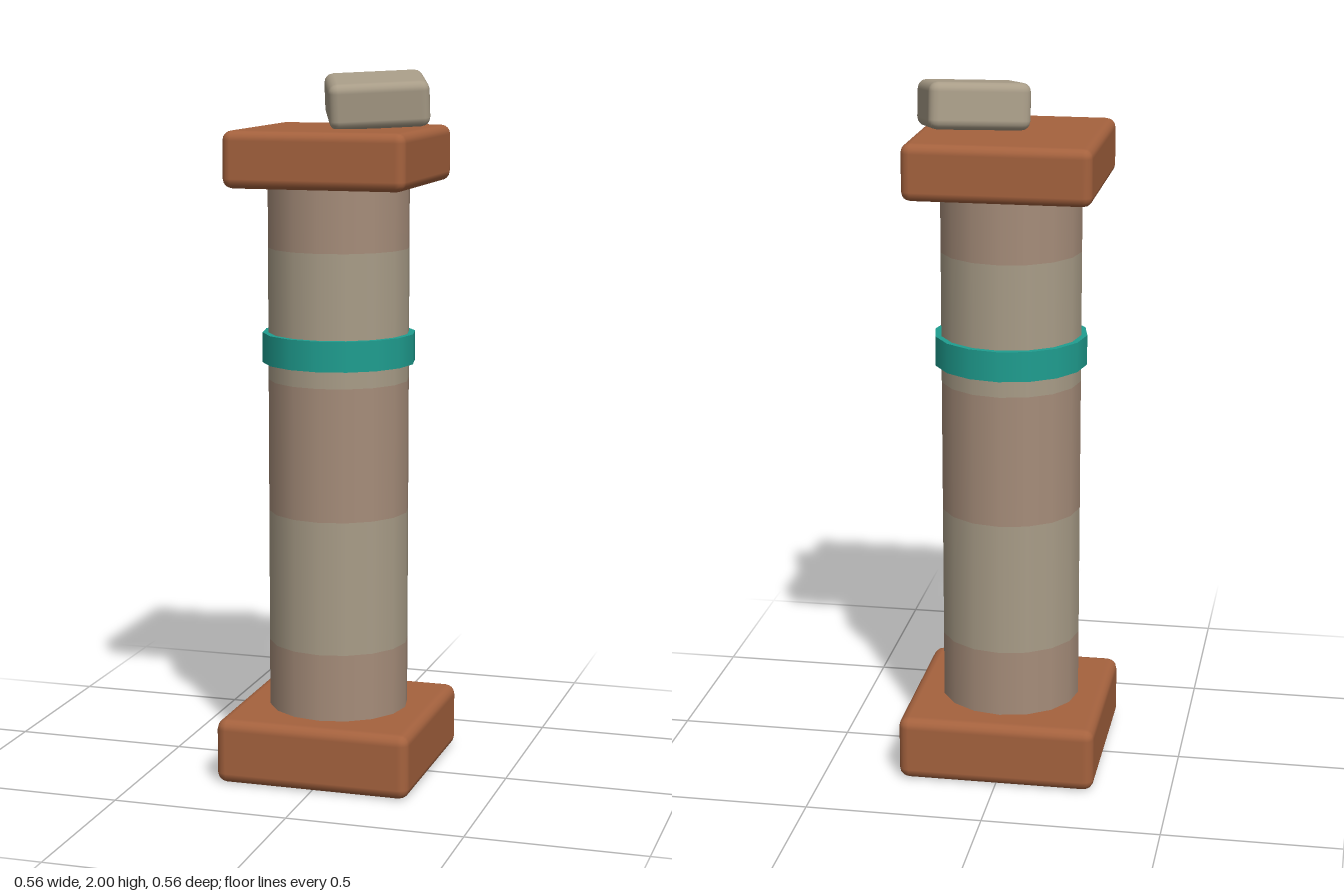
import * as THREE from 'three';
import { RoundedBoxGeometry } from 'three/addons/geometries/RoundedBoxGeometry.js';

const material = (color) => new THREE.MeshStandardMaterial({ color });
const terracotta = material(0xa5623e);
const teal = material(0x1f9e90);
const stone = material(0xa99d88);
const clay = material(0xa68d7a);

export function createModel() {
  const model = new THREE.Group();

  const add = (name, geometry, mat, x, y, z) => {
    const mesh = new THREE.Mesh(geometry, mat);
    mesh.name = name;
    mesh.position.set(x, y, z);
    model.add(mesh);
    return mesh;
  };

  // Square slabs at the foot and the head of the pillar
  add('base', new RoundedBoxGeometry(0.565, 0.186, 0.565, 2, 0.03), terracotta, 0, 0.093, 0);
  add('capital', new RoundedBoxGeometry(0.52, 0.158, 0.52, 2, 0.027), terracotta, 0, 1.767, 0);

  // Shaft of stacked drums in alternating stone
  const joints = [0.18, 0.378, 0.76, 1.138, 1.512, 1.7];
  for (let i = 0; i < joints.length - 1; i++) {
    const height = joints[i + 1] - joints[i];
    add('shaftDrum' + (i + 1), new THREE.CylinderGeometry(0.2, 0.2, height, 16),
      i % 2 ? stone : clay, 0, joints[i] + height / 2, 0);
  }

  // Coloured collar around the shaft
  add('collar', new THREE.CylinderGeometry(0.217, 0.217, 0.085, 16), teal, 0, 1.23, 0);

  // Loose block lying askew on the capital
  const block = add('looseBlock', new RoundedBoxGeometry(0.28, 0.128, 0.245, 2, 0.026),
    stone, 0.095, 1.922, -0.05);
  block.rotation.set(0.13, 0.35, 0);

  return model;
}
